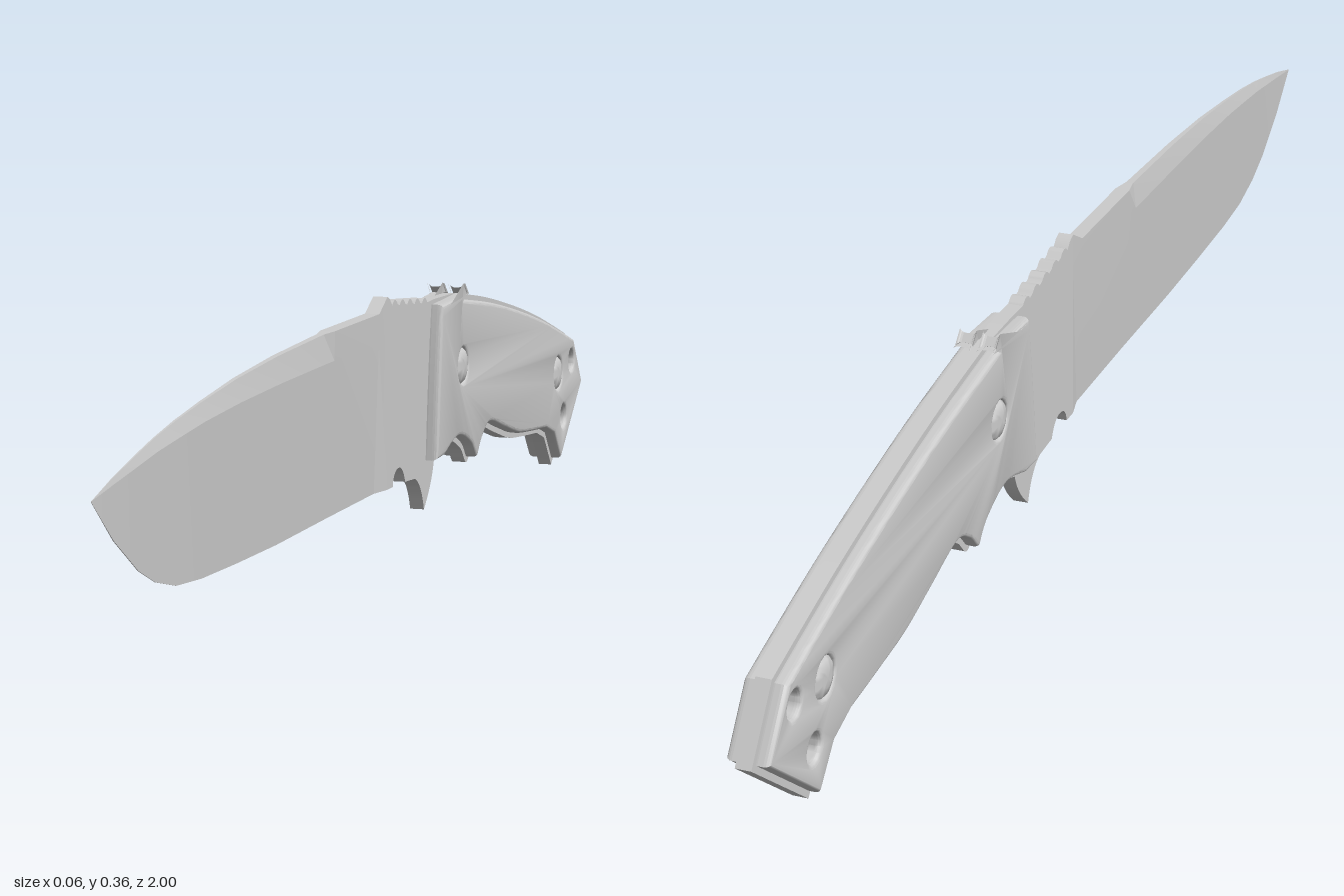
import * as THREE from 'three';
import { toCreasedNormals } from 'three/addons/utils/BufferGeometryUtils.js';

const material = new THREE.MeshStandardMaterial({ color: 0xcccccc });
const TANG = 0.01; // half thickness of the steel
const INSET = 0.008; // scales sit this far inside the tang outline
const V = (p) => new THREE.Vector2(p[0], p[1]);

// All profiles are drawn as (z, y)
const handleTop = [[-0.31, 0.332], [-0.46, 0.311], [-0.61, 0.283], [-0.75, 0.252], [-0.87, 0.22], [-0.94, 0.2]];
const pommel = [[-1, 0.117], [-0.86, 0], [-0.815, 0.05]];
const handleBottom = [[-0.77, 0.064], [-0.69, 0.071], [-0.61, 0.08], [-0.53, 0.1], [-0.45, 0.12],
  [-0.41, 0.105], [-0.378, 0.079], [-0.345, 0.105], [-0.285, 0.123], [-0.215, 0.106]];
const lanyardHoles = [[-0.92, 0.16, 0.017], [-0.873, 0.077, 0.018]];
const screws = [[-0.305, 0.23], [-0.838, 0.15]];

function addHandleOutline(shape) {
  shape.splineThru(handleTop.map(V));
  pommel.forEach((p) => shape.lineTo(p[0], p[1]));
  shape.lineTo(...handleBottom[0]);
  shape.splineThru(handleBottom.slice(1).map(V));
}

function addHole(shape, z, y, r) {
  shape.holes.push(new THREE.Path().absarc(z, y, r, 0, Math.PI * 2, true));
}

// Extrude a (z, y) shape sideways, centred on x
function extrudeSideways(shape, options) {
  const geo = new THREE.ExtrudeGeometry(shape, options);
  geo.translate(0, 0, -options.depth / 2);
  geo.rotateY(-Math.PI / 2);
  return toCreasedNormals(geo, 0.6);
}

function add(group, name, geometry) {
  const mesh = new THREE.Mesh(geometry, material);
  mesh.name = name;
  group.add(mesh);
  return mesh;
}

// Full tang with thumb ridges, choil notch and finger guard
function tangGeometry() {
  const s = new THREE.Shape();
  s.moveTo(0, 0.1);
  s.lineTo(0, 0.36);
  s.lineTo(-0.012, 0.355);
  const ridges = 5, step = 0.034;
  for (let i = 0; i < ridges; i++) {
    const z = -0.012 - i * step, y = 0.346 - i * 0.003;
    s.lineTo(z - 0.009, y);
    s.quadraticCurveTo(z - 0.021, y + 0.013, z - step, y - 0.001);
  }
  s.lineTo(-0.215, 0.334);
  s.lineTo(...handleTop[0]);
  addHandleOutline(s);
  s.quadraticCurveTo(-0.205, 0.075, -0.168, 0.045);
  s.quadraticCurveTo(-0.155, 0.085, -0.125, 0.095);
  s.lineTo(-0.08, 0.098);
  s.quadraticCurveTo(-0.07, 0.122, -0.05, 0.122);
  s.quadraticCurveTo(-0.028, 0.122, -0.024, 0.1);
  lanyardHoles.forEach((h) => addHole(s, ...h));
  return extrudeSideways(s, { depth: TANG * 2, bevelEnabled: false, curveSegments: 10 });
}

// Grip scale with rounded rims and chamfered holes
function scaleGeometry() {
  const s = new THREE.Shape();
  s.moveTo(-0.167, 0.105);
  s.quadraticCurveTo(-0.178, 0.25, -0.195, 0.336);
  s.lineTo(...handleTop[0]);
  addHandleOutline(s);
  lanyardHoles.forEach(([z, y, r]) => addHole(s, z, y, r - INSET));
  screws.forEach(([z, y]) => addHole(s, z, y, 0.025 - INSET));
  return extrudeSideways(s, {
    depth: 0.007, bevelThickness: 0.008, bevelSize: 0.006,
    bevelOffset: -0.006 - INSET, bevelSegments: 4, curveSegments: 8,
  });
}

// Blade lofted through six-point sections: edge, grind line, spine
function bladeGeometry() {
  // z, edge y, grind line y, spine y, half thickness at edge, grind line and spine
  const stations = [
    [0, 0.1, 0.3, 0.36, 0.01, 0.01, 0.01],
    [0.035, 0.1, 0.3, 0.341, 0.002, 0.0093, 0.01],
    [0.22, 0.1, 0.302, 0.34, 0.0005, 0.0092, 0.01],
    [0.25, 0.1, 0.302, 0.339, 0.0005, 0.0092, 0.005],
    [0.42, 0.1, 0.3, 0.333, 0.0005, 0.009, 0.004],
    [0.56, 0.103, 0.296, 0.324, 0.0005, 0.008, 0.003],
    [0.677, 0.107, 0.29, 0.312, 0.0005, 0.007, 0.002],
    [0.757, 0.114, 0.283, 0.302, 0.0005, 0.006, 0.0015],
    [0.82, 0.13, 0.277, 0.292, 0.0005, 0.005, 0.001],
    [0.87, 0.152, 0.27, 0.282, 0.0005, 0.004, 0.001],
    [0.94, 0.198, 0.26, 0.267, 0.0005, 0.002, 0.0005],
    [1, 0.25, 0.2505, 0.251, 0.0002, 0.0002, 0.0002],
  ];
  const pos = [], idx = [];
  stations.forEach(([z, yb, ym, yt, tb, tm, ts], i) => {
    pos.push(tb, yb, z, tm, ym, z, ts, yt, z, -ts, yt, z, -tm, ym, z, -tb, yb, z);
    if (i === stations.length - 1) return;
    for (let j = 0; j < 6; j++) {
      const a = i * 6 + j, b = i * 6 + (j + 1) % 6;
      idx.push(a, b, b + 6, a, b + 6, a + 6);
    }
  });
  const tip = (stations.length - 1) * 6;
  for (let j = 1; j < 5; j++) idx.push(tip, tip + j, tip + j + 1);
  const geo = new THREE.BufferGeometry();
  geo.setAttribute('position', new THREE.Float32BufferAttribute(pos, 3));
  geo.setIndex(idx);
  return toCreasedNormals(geo, 0.12);
}

// Low domed screw head pointing along +x
function screwGeometry() {
  const profile = [[0.0265, 0.006], [0.0265, 0.022], [0.022, 0.0265], [0.012, 0.029], [0, 0.03]].map(V);
  const geo = new THREE.LatheGeometry(profile, 24);
  geo.rotateZ(-Math.PI / 2);
  return toCreasedNormals(geo, 0.6);
}

export function createModel() {
  const model = new THREE.Group();
  model.name = 'knife';
  add(model, 'blade', bladeGeometry());
  add(model, 'tang', tangGeometry());

  const scale = scaleGeometry(), screw = screwGeometry();
  for (const [side, label] of [[1, 'left'], [-1, 'right']]) {
    add(model, label + 'GripScale', scale).position.x = side * 0.0155;
    screws.forEach(([z, y], i) => {
      const head = add(model, label + (i ? 'RearScrew' : 'FrontScrew'), screw);
      head.position.set(0, y, z);
      head.rotation.y = side > 0 ? 0 : Math.PI;
    });
  }
  return model;
}
